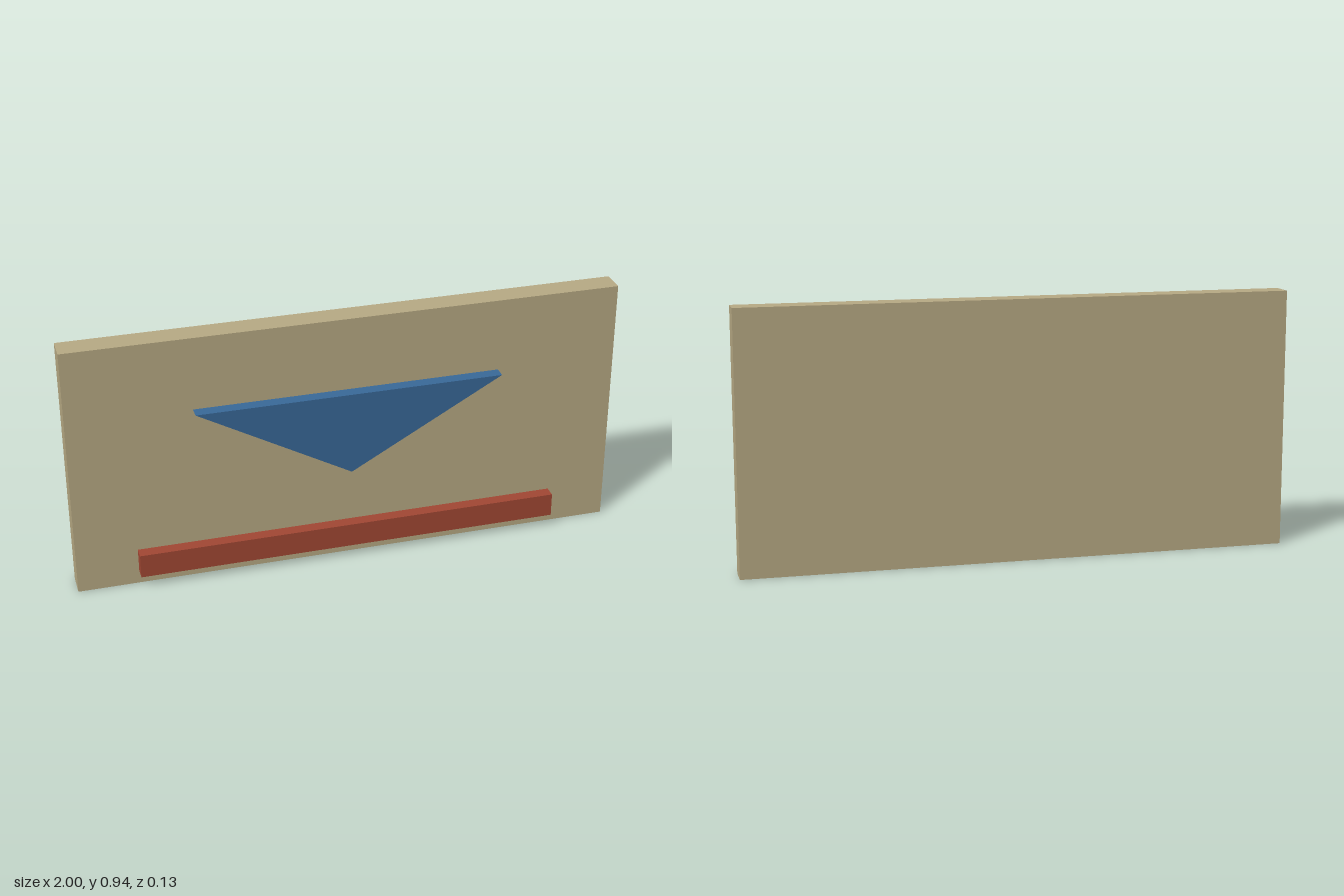
import * as THREE from 'three';

const sand = new THREE.MeshStandardMaterial({ name: 'sand', color: 0xb9ab85 });
const blue = new THREE.MeshStandardMaterial({ name: 'blue', color: 0x3a6a9a });
const red = new THREE.MeshStandardMaterial({ name: 'red', color: 0xa34834 });

const FRONT = 0.022; // front face of the panel
const RELIEF = 0.045; // how far the raised parts stand out

export function createModel() {
  const model = new THREE.Group();
  model.name = 'reliefPanel';

  const add = (name, geometry, material, y, z) => {
    const mesh = new THREE.Mesh(geometry, material);
    mesh.name = name;
    mesh.position.set(0, y, z);
    model.add(mesh);
  };

  // Upright backing panel
  add('panel', new THREE.BoxGeometry(2, 0.945, 0.089), sand, 0.4725, FRONT - 0.0445);

  // Raised triangle pointing down
  const triangle = new THREE.Shape([
    new THREE.Vector2(-0.556, 0.673),
    new THREE.Vector2(0, 0.362),
    new THREE.Vector2(0.556, 0.673),
  ]);
  add('triangle', new THREE.ExtrudeGeometry(triangle, { depth: RELIEF, bevelEnabled: false }), blue, 0, FRONT);

  // Raised bar along the bottom
  add('bar', new THREE.BoxGeometry(1.556, 0.089, RELIEF), red, 0.0945, FRONT + RELIEF / 2);

  return model;
}
